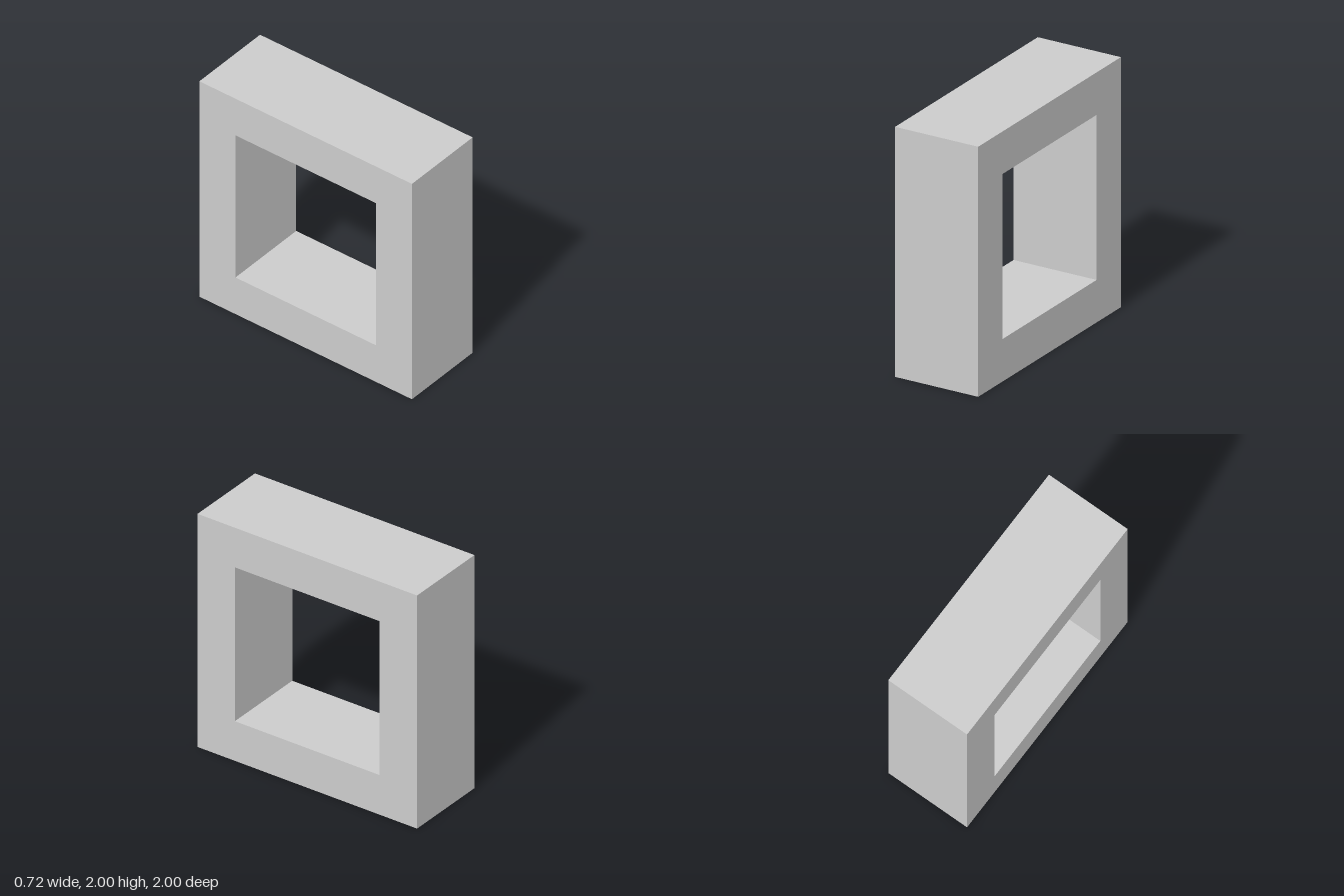
import * as THREE from 'three';

const SIZE = 2;       // outer edge of the square
const OPENING = 1.32; // edge of the square opening
const DEPTH = 0.72;   // thickness along x

// Trace a centred square onto a shape or path
function square(path, size) {
  const h = size / 2;
  path.moveTo(-h, -h);
  path.lineTo(h, -h);
  path.lineTo(h, h);
  path.lineTo(-h, h);
  path.closePath();
  return path;
}

export function createModel() {
  const group = new THREE.Group();
  group.name = 'squareFrame';

  // Square frame with a square opening running through it along x
  const outline = square(new THREE.Shape(), SIZE);
  outline.holes.push(square(new THREE.Path(), OPENING));
  const geometry = new THREE.ExtrudeGeometry(outline, { depth: DEPTH, bevelEnabled: false });
  geometry.translate(0, 0, -DEPTH / 2);
  geometry.rotateY(Math.PI / 2);
  geometry.translate(0, SIZE / 2, 0);

  const frame = new THREE.Mesh(
    geometry,
    new THREE.MeshStandardMaterial({ color: 0xcccccc, flatShading: true })
  );
  frame.name = 'frame';
  group.add(frame);
  return group;
}
